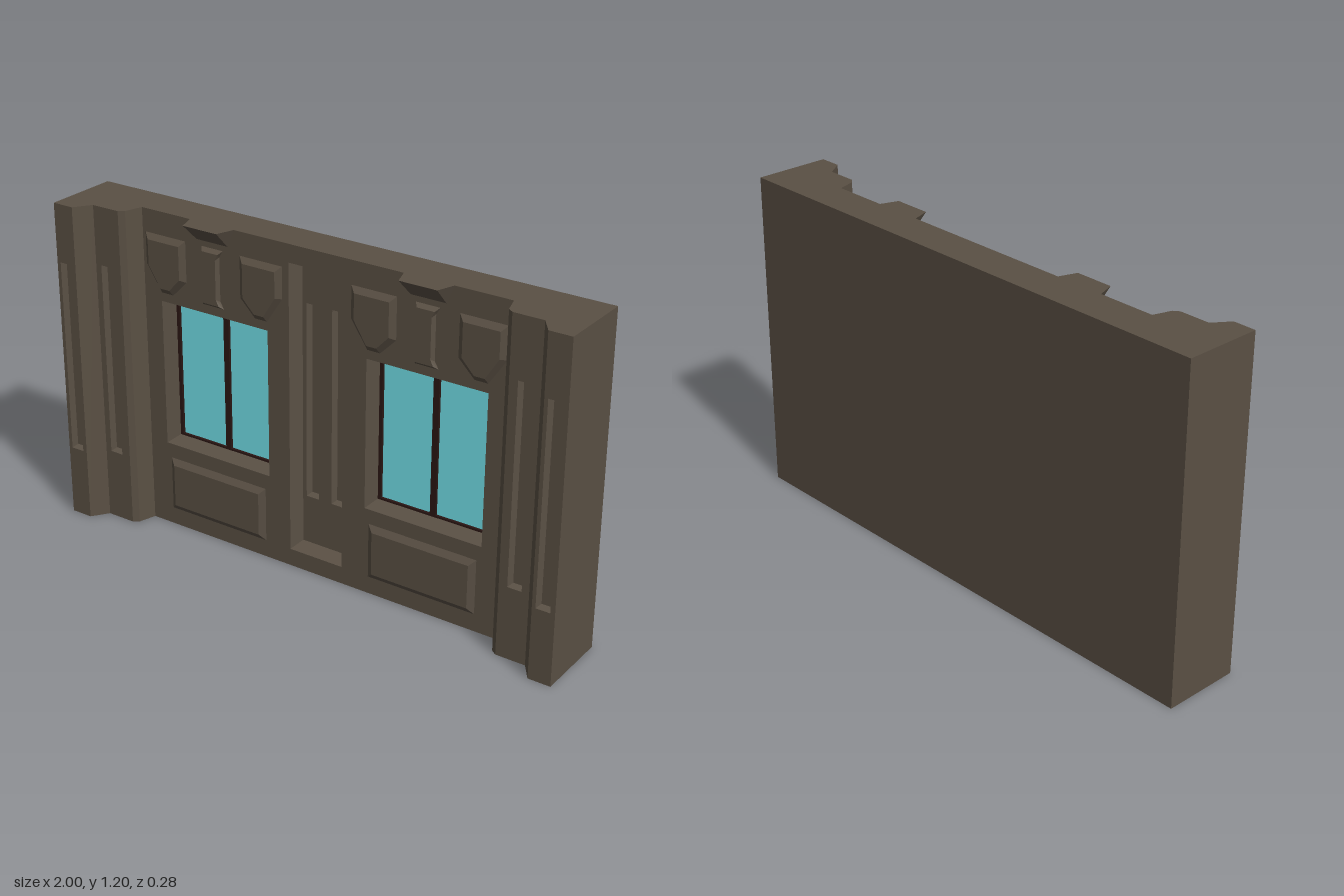
import * as THREE from 'three';

const mat = (color) => new THREE.MeshStandardMaterial({ color, flatShading: true });
const H = 1.2, BACK = -0.14;

// Rectangle as a counter-clockwise outline
const rect = (x0, x1, y0, y1) => [[x0, y0], [x1, y0], [x1, y1], [x0, y1]];

// Shrink an outline towards the centre of its bounds by d on each side
function inset(poly, d) {
  const xs = poly.map((p) => p[0]), ys = poly.map((p) => p[1]);
  const x0 = Math.min(...xs), x1 = Math.max(...xs), y0 = Math.min(...ys), y1 = Math.max(...ys);
  const cx = (x0 + x1) / 2, cy = (y0 + y1) / 2;
  const sx = 1 - (2 * d) / (x1 - x0), sy = 1 - (2 * d) / (y1 - y0);
  return poly.map(([x, y]) => [cx + (x - cx) * sx, cy + (y - cy) * sy]);
}

const toShape = (poly, holes = []) => {
  const s = new THREE.Shape(poly.map((p) => new THREE.Vector2(...p)));
  s.holes = holes.map((h) => new THREE.Path(h.map((p) => new THREE.Vector2(...p))));
  return s;
};

export function createModel() {
  const model = new THREE.Group();
  model.name = 'wallSection';
  const stone = mat(0x5a5044), frameMat = mat(0x2a1613), glass = mat(0x74e2ea);

  const add = (name, geo, material = stone, parent = model) => {
    const m = new THREE.Mesh(geo, material);
    m.name = name;
    parent.add(m);
    return m;
  };

  // Flat face looking forwards, with openings
  const face = (name, poly, z, holes, material) =>
    add(name, new THREE.ShapeGeometry(toShape(poly, holes)).translate(0, 0, z), material);

  // Sloped band joining two matching outlines at different depths
  const band = (name, a, za, b, zb, material) => {
    const v = [];
    a.forEach((p, i) => {
      const j = (i + 1) % a.length;
      const q = [[...p, za], [...a[j], za], [...b[j], zb], [...b[i], zb]];
      for (const k of [0, 1, 2, 0, 2, 3]) v.push(...q[k]);
    });
    const g = new THREE.BufferGeometry();
    g.setAttribute('position', new THREE.Float32BufferAttribute(v, 3));
    g.computeVertexNormals();
    return add(name, g, material);
  };

  // Raised (zb > za) or sunken (zb < za) bevelled panel
  const panel = (name, poly, za, zb, d, holes) => {
    const inner = inset(poly, d);
    band(name + 'Bevel', poly, za, inner, zb);
    face(name, inner, zb, holes);
  };

  // Plan outline of the front, from left pillar to right pillar
  const half = [[0.725, 0], [0.745, 0.065], [0.765, 0.08], [0.875, 0.08], [0.918, 0.14], [1, 0.14]];
  const front = [...half.map(([x, z]) => [-x, z]).reverse(), ...half];

  // Openings: windows, centre niche and pillar slots
  const windows = [-0.425, 0.425].map((x) => rect(x - 0.227, x + 0.227, 0.325, 0.873));
  const niche = rect(-0.11, 0.107, 0.065, 1.135);
  const slot = (x) => rect(x - 0.026, x + 0.026, 0.265, 0.985);
  const slotsAt = { 0: [slot(-0.96)], 2: [slot(-0.826)], 5: [...windows, niche], 8: [slot(0.822)], 10: [slot(0.957)] };

  // Front surface, strip by strip
  for (let i = 0; i < front.length - 1; i++) {
    const [xa, za] = front[i], [xb, zb] = front[i + 1];
    if (za === zb) {
      face('frontFace', rect(xa, xb, 0, H), za, slotsAt[i]);
      if (i !== 5) slotsAt[i].forEach((s) => panel('pillarSlot', s, za, za - 0.02, 0.01));
    } else {
      const strip = new THREE.PlaneGeometry(Math.hypot(xb - xa, zb - za), H);
      const m = add('pillarSide', strip);
      m.position.set((xa + xb) / 2, H / 2, (za + zb) / 2);
      m.rotation.y = Math.atan2(za - zb, xb - xa);
    }
  }

  // Back, ends, top and bottom
  const plane = (name, w, h, x, y, z, ry) => {
    const m = add(name, new THREE.PlaneGeometry(w, h));
    m.position.set(x, y, z);
    m.rotation.y = ry;
  };
  plane('back', 2, H, 0, H / 2, BACK, Math.PI);
  plane('leftEnd', 0.28, H, 1, H / 2, 0, Math.PI / 2);
  plane('rightEnd', 0.28, H, -1, H / 2, 0, -Math.PI / 2);
  const plan = (s) => toShape([[-1, s * BACK], [1, s * BACK], ...front.map(([x, z]) => [x, s * z]).reverse()]);
  add('top', new THREE.ShapeGeometry(plan(-1)).rotateX(-Math.PI / 2).translate(0, H, 0));
  add('bottom', new THREE.ShapeGeometry(plan(1)).rotateX(Math.PI / 2));

  // Centre niche with two slots in its floor
  const nicheSlots = [-0.049, 0.055].map(slot);
  panel('centreNiche', niche, 0, -0.05, 0.02, nicheSlots);
  nicheSlots.forEach((s) => panel('nicheSlot', s, -0.05, -0.07, 0.01));

  windows.forEach((opening, i) => {
    const cx = i ? 0.425 : -0.425;
    const at = (poly) => poly.map(([x, y]) => [x + cx, y]);

    // Window: reveal, frame with mullion, panes
    const inner = inset(opening, 0.01);
    band('windowReveal', opening, 0, inner, -0.08);
    const panes = [-1, 1].map((s) => at(rect(s * 0.108 - 0.097, s * 0.108 + 0.097, 0.342, 0.859)));
    add('windowFrame', new THREE.ExtrudeGeometry(toShape(inner, panes), { depth: 0.015, bevelEnabled: false })
      .translate(0, 0, -0.08), frameMat);
    panes.forEach((p) => face('windowPane', p, -0.075, [], glass));

    // Raised panel under the window
    panel('lowerPanel', at(rect(-0.21, 0.21, 0.065, 0.27)), 0, 0.015, 0.022);

    // Raised panels over the window, outer pair mirrored
    const side = [[0.115, 1.115], [0.115, 0.965], [0.175, 0.905], [0.225, 0.905], [0.288, 1.0], [0.288, 1.115]];
    panel('upperSidePanel', at(side), 0, 0.015, 0.02);
    panel('upperSidePanel', at(side.map(([x, y]) => [-x, y]).reverse()), 0, 0.015, 0.02);
    panel('upperMiddlePanel', at([[-0.045, 0.905], [0.045, 0.905], [0.03, 0.93], [0.03, 1.09], [0.045, 1.115],
      [-0.045, 1.115], [-0.03, 1.09], [-0.03, 0.93]]), 0, 0.015, 0.012);

    // Wedge bracket at the top edge
    const g = new THREE.BufferGeometry();
    const a = [-0.092, H, 0], b = [0.092, H, 0], c = [0.07, H, 0.065], d = [-0.07, H, 0.065];
    const e = [-0.065, 1.135, 0], f = [0.065, 1.135, 0];
    g.setAttribute('position', new THREE.Float32BufferAttribute(
      [a, d, c, a, c, b, e, f, c, e, c, d, a, e, d, b, c, f].flat(), 3));
    g.computeVertexNormals();
    add('topBracket', g).position.x = cx;
  });

  return model;
}
